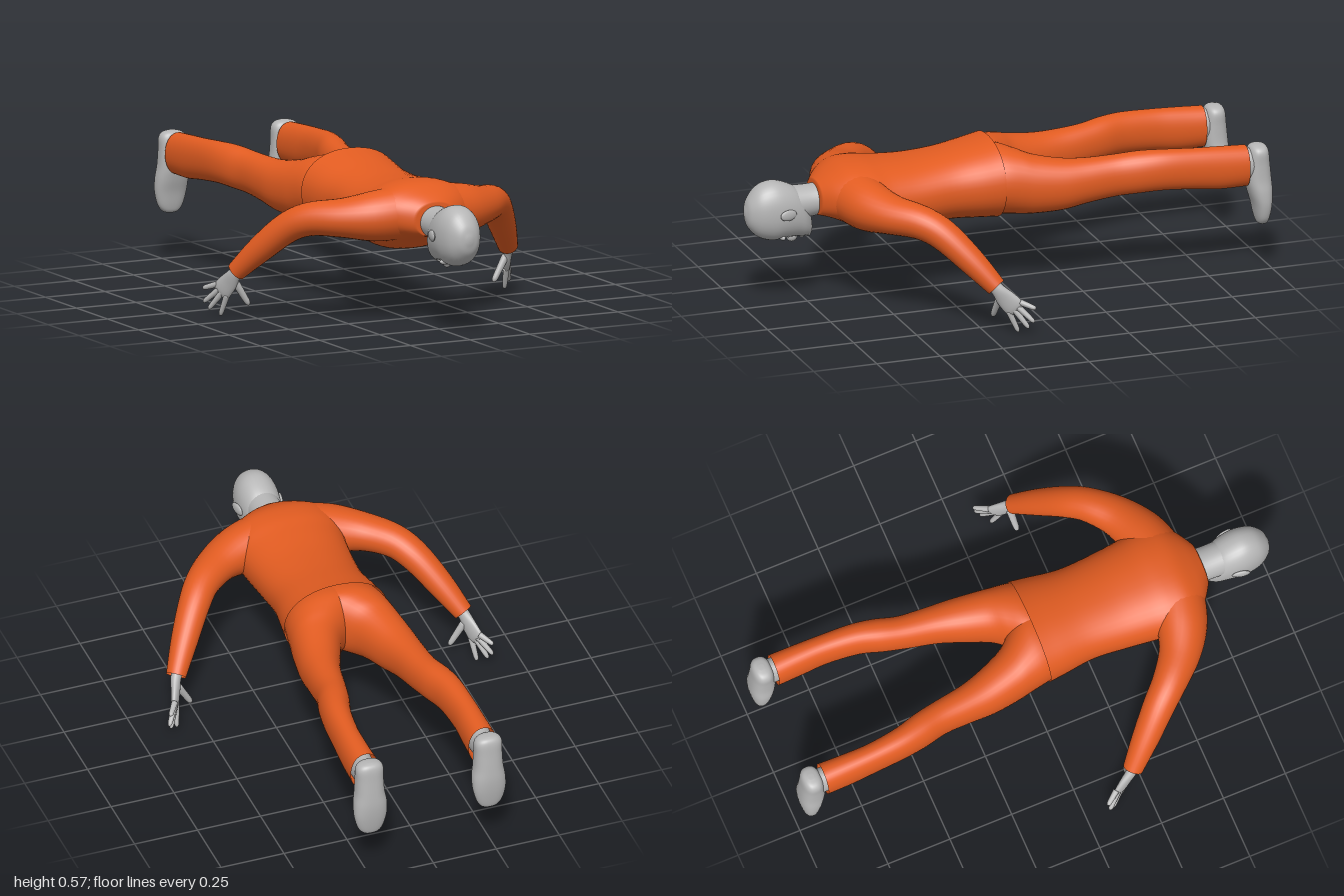
import * as THREE from 'three';

const suit = new THREE.MeshStandardMaterial({ color: 0xe25c21, side: THREE.DoubleSide });
suit.name = 'orange suit';
const skin = new THREE.MeshStandardMaterial({ color: 0xb6b6b6, side: THREE.DoubleSide });
skin.name = 'grey skin';

// Smooth interpolation through rows of numbers
function smoothRows(rows, steps) {
  const out = [];
  for (let i = 0; i < rows.length - 1; i++) {
    const p = [rows[Math.max(i - 1, 0)], rows[i], rows[i + 1], rows[Math.min(i + 2, rows.length - 1)]];
    for (let s = 0; s < steps; s++) {
      const t = s / steps;
      out.push(rows[i].map((_, k) => {
        const [a, b, c, d] = p.map((r) => r[k]);
        return b + 0.5 * t * (c - a + t * (2 * a - 5 * b + 4 * c - d + t * (3 * (b - c) + d - a)));
      }));
    }
  }
  out.push(rows[rows.length - 1]);
  return out;
}

// Skin over a list of rings; closed ends get a centre point
function skinRings(rings, closeStart, closeEnd) {
  const n = rings[0].length, pos = [], idx = [];
  rings.forEach((r) => r.forEach((v) => pos.push(v.x, v.y, v.z)));
  for (let i = 0; i < rings.length - 1; i++) {
    for (let j = 0; j < n; j++) {
      const a = i * n + j, b = i * n + (j + 1) % n;
      idx.push(a, b, a + n, b, b + n, a + n);
    }
  }
  const cap = (ring, base, flip) => {
    const c = ring.reduce((s, v) => s.add(v), new THREE.Vector3()).divideScalar(n);
    const k = pos.length / 3;
    pos.push(c.x, c.y, c.z);
    for (let j = 0; j < n; j++) {
      const a = base + j, b = base + (j + 1) % n;
      if (flip) idx.push(k, b, a); else idx.push(k, a, b);
    }
  };
  if (closeStart) cap(rings[0], 0, true);
  if (closeEnd) cap(rings[rings.length - 1], (rings.length - 1) * n, false);
  const g = new THREE.BufferGeometry();
  g.setAttribute('position', new THREE.Float32BufferAttribute(pos, 3));
  g.setIndex(idx);
  g.computeVertexNormals();
  return g;
}

// Sections along z or y: [position, x min, x max, other min, other max]
function loft(rows, { axis = 'z', power = 2, side = 1, ends = [true, true], n = 36 } = {}) {
  const rings = smoothRows(rows, 5).map(([p, x0, x1, o0, o1]) => Array.from({ length: n }, (_, j) => {
    const a = (j / n) * Math.PI * 2 * (axis === 'z' ? 1 : -1);
    const bend = (v) => Math.sign(v) * Math.abs(v) ** (2 / power);
    const x = side * (x0 + x1) / 2 + (x1 - x0) / 2 * bend(Math.cos(a));
    const o = (o0 + o1) / 2 + (o1 - o0) / 2 * bend(Math.sin(a));
    return axis === 'z' ? new THREE.Vector3(x, o, p) : new THREE.Vector3(x, p, o);
  }));
  return skinRings(rings, ...ends);
}

// Limb along a path: [x, y, z, half width, half thickness], width lies along "across"
function limb(path, side, across = [0, 1, 0], ends = [true, true], n = 20) {
  const rows = smoothRows(path.map(([x, ...r]) => [x * side, ...r]), 5);
  const pts = rows.map((r) => new THREE.Vector3(r[0], r[1], r[2]));
  const ref = new THREE.Vector3(across[0] * side, across[1], across[2]);
  const rings = rows.map((r, i) => {
    const t = pts[Math.min(i + 1, pts.length - 1)].clone().sub(pts[Math.max(i - 1, 0)]).normalize();
    const u = ref.clone().addScaledVector(t, -ref.dot(t)).normalize();
    const v = t.clone().cross(u);
    return Array.from({ length: n }, (_, j) => {
      const a = (j / n) * Math.PI * 2;
      return pts[i].clone().addScaledVector(u, r[3] * Math.cos(a)).addScaledVector(v, r[4] * Math.sin(a));
    });
  });
  return skinRings(rings, ...ends);
}

export function createModel() {
  const model = new THREE.Group();
  const add = (name, geometry, material) => {
    const m = new THREE.Mesh(geometry, material);
    m.name = name;
    model.add(m);
    return m;
  };
  const blob = (name, x, y, z, rx, ry, rz) => {
    const m = add(name, new THREE.SphereGeometry(1, 20, 14), skin);
    m.position.set(x, y, z);
    m.scale.set(rx, ry, rz);
    return m;
  };

  // Jacket body, hem to collar
  add('jacket', loft([
    [0.035, -0.205, 0.205, 0.272, 0.576],
    [0.1, -0.197, 0.197, 0.277, 0.563],
    [0.22, -0.182, 0.182, 0.284, 0.543],
    [0.35, -0.19, 0.19, 0.277, 0.533],
    [0.47, -0.203, 0.203, 0.27, 0.538],
    [0.55, -0.215, 0.215, 0.283, 0.546],
    [0.62, -0.205, 0.205, 0.318, 0.54],
    [0.68, -0.15, 0.15, 0.343, 0.512],
    [0.725, -0.082, 0.082, 0.352, 0.48],
  ], { power: 2.2, ends: [false, true], n: 48 }), suit);

  // Neck and head, face down
  add('neck', loft([
    [0.66, -0.07, 0.07, 0.355, 0.475],
    [0.74, -0.064, 0.064, 0.345, 0.468],
    [0.83, -0.066, 0.066, 0.33, 0.47],
  ]), skin);
  add('head', loft([
    [0.738, -0.016, 0.016, 0.285, 0.325],
    [0.745, -0.036, 0.036, 0.274, 0.36],
    [0.77, -0.06, 0.06, 0.272, 0.425],
    [0.8, -0.072, 0.072, 0.275, 0.465],
    [0.85, -0.081, 0.081, 0.274, 0.49],
    [0.9, -0.081, 0.081, 0.27, 0.499],
    [0.95, -0.069, 0.069, 0.288, 0.481],
    [0.985, -0.043, 0.043, 0.325, 0.44],
    [0.997, -0.018, 0.018, 0.36, 0.405],
    [1.0, -0.004, 0.004, 0.378, 0.388],
  ], { power: 2.2 }), skin);
  blob('nose', 0, 0.273, 0.812, 0.014, 0.022, 0.022);
  blob('lips', 0, 0.276, 0.777, 0.024, 0.011, 0.01);
  blob('chin', 0, 0.284, 0.752, 0.026, 0.017, 0.014);

  for (const side of [1, -1]) {
    const s = side > 0 ? 'left' : 'right';
    blob(s + 'Brow', side * 0.03, 0.284, 0.862, 0.026, 0.012, 0.012);
    blob(s + 'Eye', side * 0.03, 0.29, 0.838, 0.014, 0.01, 0.009);
    blob(s + 'Ear', side * 0.085, 0.385, 0.855, 0.009, 0.021, 0.035).rotation.y = side * 0.2;

    // Sleeve
    add(s + 'Sleeve', limb([
      [0.08, 0.43, 0.595, 0.1, 0.105],
      [0.19, 0.42, 0.57, 0.092, 0.097],
      [0.29, 0.415, 0.52, 0.072, 0.08],
      [0.38, 0.405, 0.44, 0.063, 0.066],
      [0.44, 0.365, 0.37, 0.058, 0.06],
      [0.51, 0.275, 0.285, 0.05, 0.051],
      [0.57, 0.185, 0.21, 0.037, 0.038],
    ], side, [0, 1, 0.3], [true, false], 28), suit);

    // Hand: palm, four fingers and thumb
    const across = [0.023, 0.045, -0.042];
    add(s + 'Palm', limb([
      [0.545, 0.22, 0.24, 0.026, 0.024],
      [0.571, 0.178, 0.208, 0.026, 0.02],
      [0.584, 0.14, 0.178, 0.037, 0.017],
      [0.597, 0.107, 0.149, 0.04, 0.014],
      [0.601, 0.095, 0.138, 0.03, 0.008],
    ], side, across), skin);
    const fingers = {
      IndexFinger: [[0.586, 0.09, 0.167], [0.596, 0.008, 0.132]],
      MiddleFinger: [[0.596, 0.1, 0.15], [0.63, 0.03, 0.103]],
      RingFinger: [[0.602, 0.11, 0.138], [0.643, 0.055, 0.086]],
      LittleFinger: [[0.606, 0.127, 0.128], [0.641, 0.107, 0.079]],
      Thumb: [[0.568, 0.145, 0.196], [0.512, 0.052, 0.204]],
    };
    for (const [name, [a, b]] of Object.entries(fingers)) {
      const at = (t, r) => [...a.map((v, k) => v + (b[k] - v) * t), r, r];
      const r = name === 'Thumb' ? 0.013 : 0.0105;
      add(s + name, limb([at(0, r * 1.15), at(0.5, r), at(0.85, r * 0.85), at(0.97, r * 0.5), at(1, r * 0.1)],
        side, [0.3, 0.2, -0.9], [true, true], 12), skin);
    }

    // Trouser half: leg widening into the hip
    add(s + 'TrouserLeg', loft([
      [-0.9, 0.178, 0.29, 0.342, 0.5],
      [-0.8, 0.182, 0.288, 0.342, 0.506],
      [-0.7, 0.183, 0.284, 0.353, 0.511],
      [-0.58, 0.168, 0.278, 0.36, 0.517],
      [-0.49, 0.142, 0.265, 0.354, 0.515],
      [-0.4, 0.122, 0.243, 0.345, 0.505],
      [-0.29, 0.1, 0.237, 0.328, 0.5],
      [-0.2, 0.07, 0.234, 0.308, 0.504],
      [-0.1, 0.026, 0.222, 0.298, 0.522],
      [-0.04, -0.03, 0.212, 0.294, 0.542],
      [0.02, -0.1, 0.203, 0.293, 0.556],
      [0.08, -0.12, 0.192, 0.293, 0.55],
    ], { side, power: 2.15, ends: [false, true] }), suit);

    // Ankle and foot, toes down
    add(s + 'Ankle', loft([
      [-0.96, 0.192, 0.28, 0.365, 0.492],
      [-0.9, 0.192, 0.28, 0.36, 0.486],
      [-0.85, 0.19, 0.28, 0.355, 0.49],
    ], { side }), skin);
    add(s + 'Foot', loft([
      [0.187, 0.225, 0.247, -0.967, -0.955],
      [0.195, 0.203, 0.268, -0.98, -0.943],
      [0.22, 0.186, 0.287, -0.988, -0.935],
      [0.27, 0.173, 0.299, -0.996, -0.925],
      [0.32, 0.171, 0.299, -0.999, -0.91],
      [0.37, 0.179, 0.292, -0.996, -0.9],
      [0.43, 0.182, 0.289, -0.99, -0.903],
      [0.475, 0.183, 0.288, -0.985, -0.91],
      [0.495, 0.198, 0.273, -0.976, -0.92],
      [0.502, 0.225, 0.246, -0.96, -0.938],
    ], { axis: 'y', side, power: 2.4 }), skin);
  }
  return model;
}
